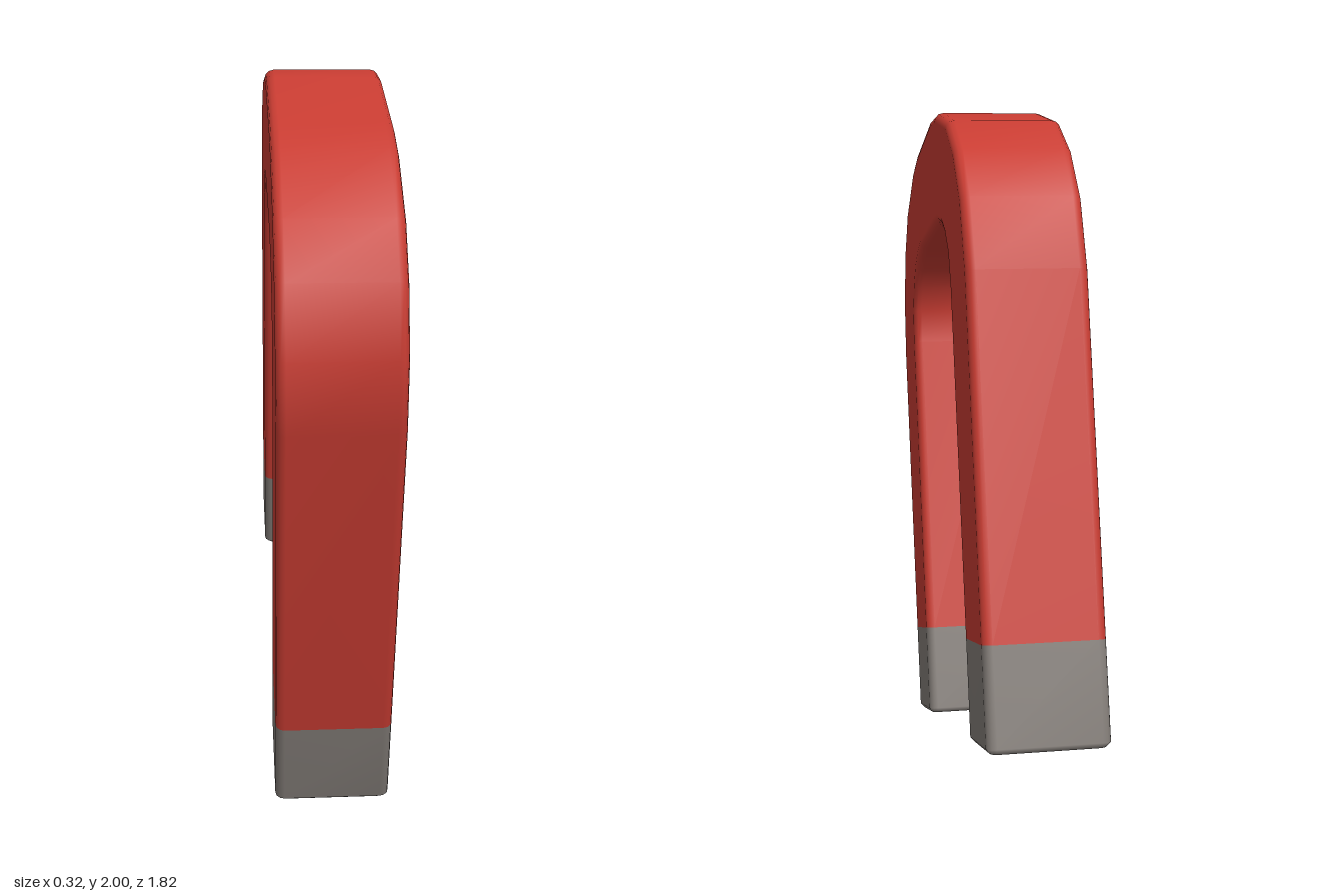
import * as THREE from 'three';

// Side profile as [outer z, outer y, inner z, inner y], from the front pole over the bend to the back pole
const stations = [
  [0.54, 0.0, 0.24, 0.095], [0.62, 0.265, 0.318, 0.36],
  [0.89, 1.18, 0.585, 1.27], [0.912, 1.37, 0.597, 1.37], [0.87, 1.55, 0.57, 1.45],
  [0.785, 1.69, 0.528, 1.51], [0.6, 1.835, 0.475, 1.55], [0.49, 1.885, 0.395, 1.59],
  [0.15, 1.985, 0.075, 1.675], [0.03, 2.0, -0.01, 1.69], [-0.205, 1.975, -0.09, 1.685],
  [-0.36, 1.9, -0.16, 1.66], [-0.485, 1.78, -0.225, 1.61], [-0.575, 1.6, -0.27, 1.52],
  [-0.835, 0.69, -0.532, 0.61], [-0.91, 0.43, -0.605, 0.345],
];
const HALF_WIDTH = 0.16, RADIUS = 0.025, STEPS = 3;

// Rounded rectangle spanning the bar from its outer to its inner edge
function ring([oz, oy, iz, iy], inset = 0) {
  const outer = new THREE.Vector3(0, oy, oz), inner = new THREE.Vector3(0, iy, iz);
  const centre = outer.clone().lerp(inner, 0.5);
  const u = inner.clone().sub(outer).normalize();
  const hu = outer.distanceTo(inner) / 2 - inset, hv = HALF_WIDTH - inset;
  const points = [];
  for (let corner = 0; corner < 4; corner++) {
    const su = corner === 0 || corner === 3 ? 1 : -1, sv = corner < 2 ? 1 : -1;
    for (let k = 0; k <= STEPS; k++) {
      const a = (corner + k / STEPS) * Math.PI / 2;
      const p = centre.clone().addScaledVector(u, su * (hu - RADIUS) + RADIUS * Math.cos(a));
      p.x -= sv * (hv - RADIUS) + RADIUS * Math.sin(a);
      points.push(p);
    }
  }
  return points;
}

// Skin a run of rings, optionally closing either end
function loft(rings, capStart, capEnd) {
  const n = rings[0].length, points = rings.flat(), index = [];
  for (let i = 0; i < rings.length - 1; i++) {
    for (let j = 0; j < n; j++) {
      const a = i * n + j, b = i * n + (j + 1) % n;
      index.push(a, b, b + n, a, b + n, a + n);
    }
  }
  const cap = (row, flip) => {
    const c = points.length;
    points.push(rings[row].reduce((s, p) => s.add(p), new THREE.Vector3()).divideScalar(n));
    for (let j = 0; j < n; j++) {
      const a = row * n + j, b = row * n + (j + 1) % n;
      index.push(c, flip ? b : a, flip ? a : b);
    }
  };
  if (capStart) cap(0, true);
  if (capEnd) cap(rings.length - 1, false);
  const geometry = new THREE.BufferGeometry().setFromPoints(points);
  geometry.setIndex(index);
  geometry.computeVertexNormals();
  return geometry;
}

// Rings of a pole, from its softened tip up to the red body
function poleRings(tip, joint) {
  const shoulder = tip.map((v, k) => v + (joint[k] - v) * 0.05);
  return [ring(tip, 0.012), ring(shoulder), ring(joint)];
}

export function createModel() {
  const group = new THREE.Group();
  group.name = 'horseshoeMagnet';
  const red = new THREE.MeshStandardMaterial({ color: 0xc83c32 });
  const steel = new THREE.MeshStandardMaterial({ color: 0x837d78 });
  const add = (name, geometry, material) => {
    const mesh = new THREE.Mesh(geometry, material);
    mesh.name = name;
    group.add(mesh);
  };
  const last = stations.length - 1;

  // Red bent bar
  add('body', loft(stations.slice(1, last).map((s) => ring(s))), red);
  // Bare metal poles
  add('frontPole', loft(poleRings(stations[0], stations[1]), true, false), steel);
  add('backPole', loft(poleRings(stations[last], stations[last - 1]).reverse(), false, true), steel);
  return group;
}
